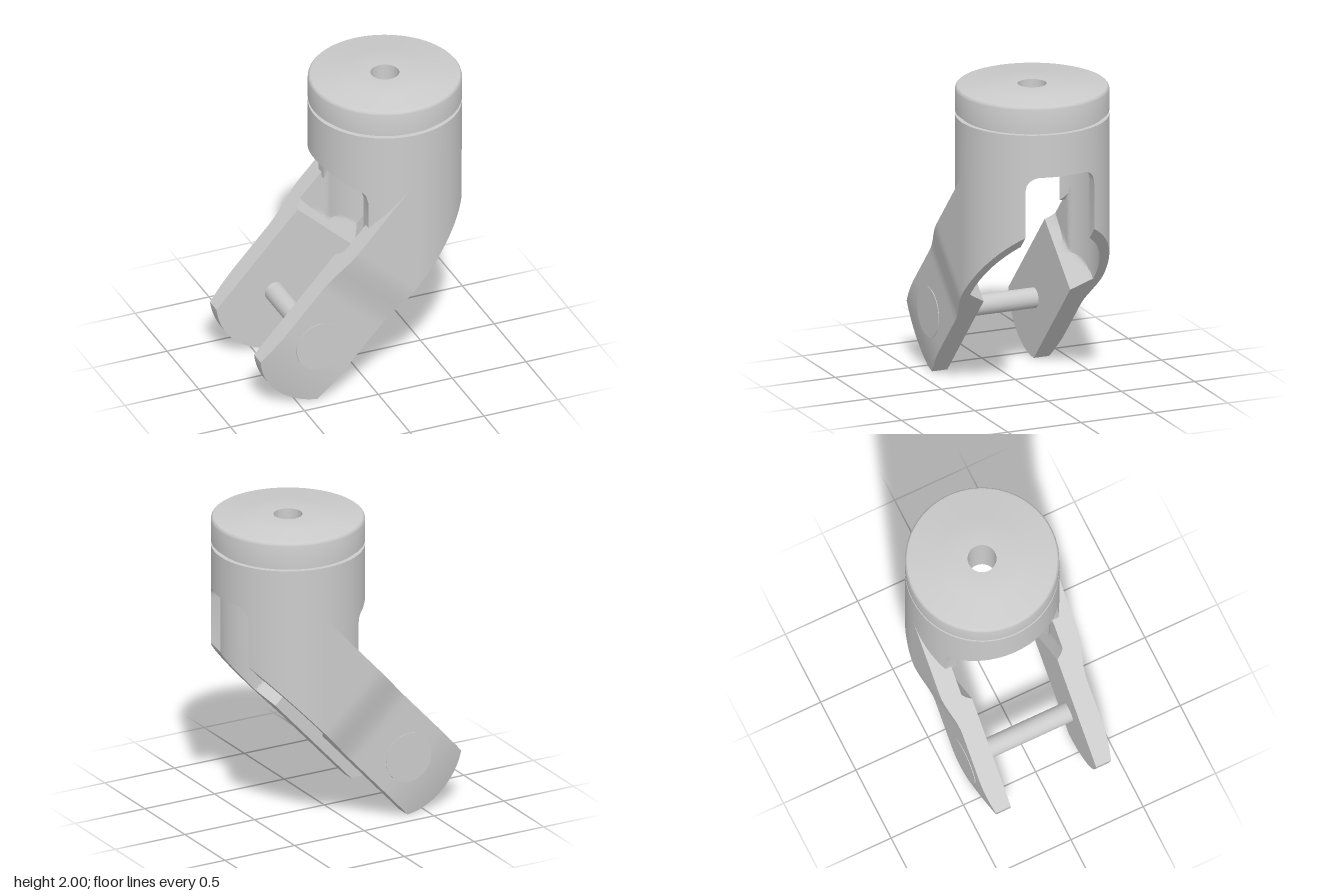
import * as THREE from 'three';
import { mergeGeometries, toCreasedNormals } from 'three/addons/utils/BufferGeometryUtils.js';

const material = new THREE.MeshStandardMaterial({ color: 0xcccccc, side: THREE.DoubleSide });
const { lerp, smoothstep, clamp } = THREE.MathUtils;

// Main dimensions
const AXIS = 0.26, R = 0.48, RI = 0.42;          // vertical barrel
const BODY_TOP = 1.805, CEILING = 1.65;
const PX = -0.36, PY = 0.395, PIN_Z = 0.432;     // pin centre
const DX = 0.677, DY = 0.736, HALF = 0.2615;     // arm direction and half width
const END_R = 0.395, STEP = 0.515, SLOT = 0.235;

// Straight lower and upper edges of the slanted arm, as y over x
const armEdge = (x, side) => PY + (DY / DX) * (x - PX) + side * HALF / DX;

// Grid surface from f(u, v) -> [x, y, z]
function sheet(f, nu, nv, flip = false) {
  const pos = [], index = [];
  for (let i = 0; i <= nu; i++) for (let j = 0; j <= nv; j++) pos.push(...f(i / nu, j / nv));
  for (let i = 0; i < nu; i++) for (let j = 0; j < nv; j++) {
    const a = i * (nv + 1) + j, b = a + nv + 1;
    if (flip) index.push(a, a + 1, b, b, a + 1, b + 1);
    else index.push(a, b, a + 1, b, b + 1, a + 1);
  }
  const g = new THREE.BufferGeometry();
  g.setAttribute('position', new THREE.Float32BufferAttribute(pos, 3));
  g.setIndex(index);
  return g;
}

function addMesh(parent, name, geometry) {
  const mesh = new THREE.Mesh(geometry, material);
  mesh.name = name;
  parent.add(mesh);
  return mesh;
}
const joined = (sheets) => toCreasedNormals(mergeGeometries(sheets), 0.5);

// Half of the barrel wall: angular bands, each with its own lower edge
function barrelHalf() {
  const byX = (x) => (r) => Math.acos((x - AXIS) / r);
  const bySlot = (r) => Math.asin(SLOT / r);
  const bands = [
    { from: () => 0, to: bySlot, low: (x, z) => {              // rounded top of the slot
      const c = clamp((z - SLOT + 0.09) / 0.09, 0, 1);
      return 1.44 + 0.09 * Math.sqrt(1 - c * c);
    } },
    { from: bySlot, to: byX(AXIS), low: (x) => armEdge(x, -1) },
    { from: byX(AXIS), to: byX(-0.02), low: (x) => armEdge(x, 1) - 0.03 },
    { from: byX(-0.02), to: () => Math.PI, low: (x) => {       // sloped cut with a fillet
      const t = clamp((-0.02 - x) / 0.06, 0, 1);
      return x > -0.08 ? 1.33 + 0.082 * Math.sqrt(t * (2 - t)) : 1.412 + 0.56 * (-0.08 - x);
    } },
  ];
  const at = (band, t, r) => {
    const a = lerp(band.from(r), band.to(r), t);
    const x = AXIS + r * Math.cos(a), z = r * Math.sin(a);
    return [x, band.low(x, z), z];
  };
  const wall = (band, r, top, flip) => sheet((u, v) => {
    const [x, y, z] = at(band, u, r);
    return [x, lerp(y, top, v), z];
  }, 28, 4, flip);
  // Upright face where two neighbouring bands have different lower edges
  const jamb = (a, b, flip) => sheet((u, v) => {
    const r = lerp(RI, R, v), p = at(a, 1, r), q = at(b, 0, r);
    return [p[0], lerp(Math.min(p[1], q[1]), Math.max(p[1], q[1]), u), p[2]];
  }, 1, 1, flip);
  const sheets = [jamb(bands[0], bands[1], false), jamb(bands[2], bands[3], true)];
  for (const band of bands) {
    sheets.push(wall(band, R, BODY_TOP, true), wall(band, RI, CEILING, false));
    sheets.push(sheet((u, v) => {
      const p = at(band, u, RI), q = at(band, u, R);
      return p.map((c, k) => lerp(c, q[k], v));
    }, 28, 1, true));
  }
  return joined(sheets);
}

// Fork arm: outer face steps in and tapers, inner face opens into a pocket
function forkArm() {
  const outerZ = (s) => {
    const t = Math.max(0, (-0.02 - s) / 0.27);
    return 0.428 + 0.052 * smoothstep(s, 0.31, 0.64) - 0.028 * t * t;
  };
  const innerZ = (s, x) => {
    if (s <= STEP) return 0.295;
    const bore = Math.sqrt(Math.max(0, RI * RI - (x - AXIS) ** 2));
    return Math.min(Math.max(0.35, bore), 0.295 + 1.2 * (s - STEP));
  };
  // u runs along the arm (knots at the pin and at the pocket), v across it
  const at = (u, v, depth) => {
    const w = lerp(-HALF, HALF, v);
    const knots = [-Math.sqrt(END_R ** 2 - w * w), 0, STEP, (AXIS - PX + w * DY) / DX];
    const k = Math.min(2, Math.floor(u * 3 + 1e-6));
    const s = lerp(knots[k], knots[k + 1], u * 3 - k);
    const x = PX + s * DX - w * DY, y = PY + s * DY + w * DX;
    return [x, y, lerp(innerZ(s, x), outerZ(s), depth)];
  };
  return joined([
    sheet((u, v) => at(u, v, 1), 72, 28),
    sheet((u, v) => at(u, v, 0), 72, 28, true),
    sheet((u, v) => at(u, 0, v), 72, 1),
    sheet((u, v) => at(u, 1, v), 72, 1, true),
    sheet((u, v) => at(0, u, v), 28, 1, true),
  ]);
}

export function createModel() {
  const model = new THREE.Group();
  model.name = 'forkJoint';

  // Cap, groove, centre hole and ceiling in one turned profile
  const profile = [
    [R, BODY_TOP], [0.45, BODY_TOP], [0.45, 1.83], [R, 1.83], [R, 1.97], [0.477, 1.981],
    [0.47, 1.989], [0.459, 1.993], [0.29, 1.993], [0.27, 2], [0.09, 2], [0.09, CEILING], [RI, CEILING],
  ].map(([x, y]) => new THREE.Vector2(x, y));
  const cap = addMesh(model, 'cap', toCreasedNormals(new THREE.LatheGeometry(profile, 96), 0.5));
  cap.position.x = AXIS;

  // Mirrored halves: barrel wall, arm and pin head
  const wall = barrelHalf(), arm = forkArm();
  const head = new THREE.CylinderGeometry(0.162, 0.162, 0.05, 48).rotateX(Math.PI / 2);
  for (const [side, sign] of [['front', 1], ['back', -1]]) {
    const half = new THREE.Group();
    half.name = side + 'Half';
    half.scale.z = sign;
    addMesh(half, side + 'Barrel', wall);
    addMesh(half, side + 'Arm', arm);
    addMesh(half, side + 'PinHead', head).position.set(PX, PY, PIN_Z - 0.025);
    model.add(half);
  }

  // Cross pin between the arms
  const pin = new THREE.CylinderGeometry(0.065, 0.065, 0.64, 32).rotateX(Math.PI / 2);
  addMesh(model, 'crossPin', pin).position.set(PX, PY, 0);
  return model;
}
